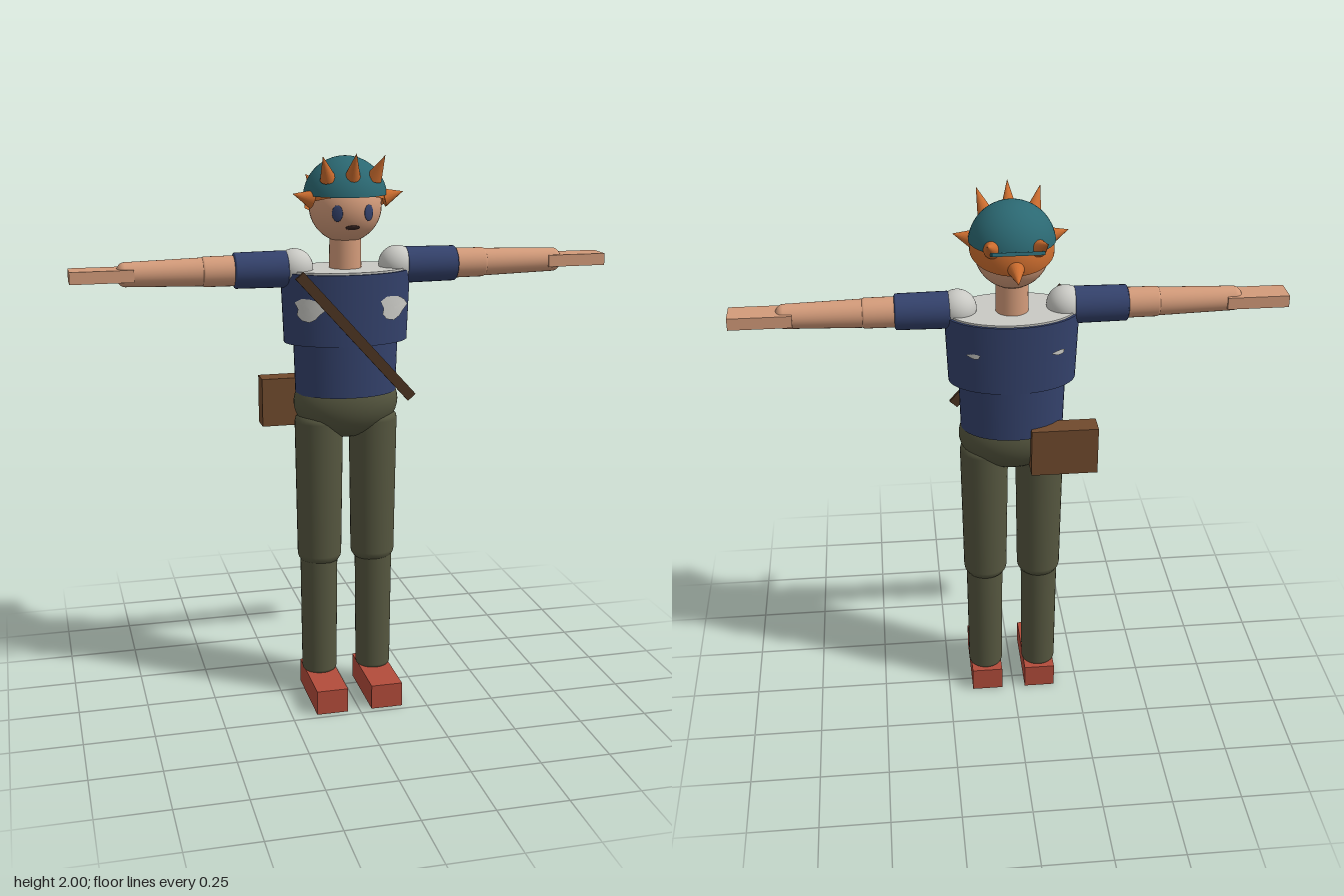
import * as THREE from 'three';

const mat = (name, color, side = THREE.FrontSide) => {
  const m = new THREE.MeshStandardMaterial({ color, side });
  m.name = name;
  return m;
};

export function createModel() {
  const skin = mat('skin', 0xd39b7a);
  const navy = mat('navy cloth', 0x34426c);
  const white = mat('pale undershirt', 0xc9c9c4, THREE.DoubleSide);
  const olive = mat('olive trousers', 0x55563f);
  const red = mat('red shoes', 0xb34c3b);
  const teal = mat('teal cap', 0x2b6872, THREE.DoubleSide);
  const orange = mat('orange hair', 0xcb6c2e, THREE.DoubleSide);
  const leather = mat('brown leather', 0x704a2d);
  const strapBrown = mat('dark strap', 0x4c3422);
  const dark = mat('dark mouth', 0x33221f);

  const model = new THREE.Group();
  const add = (name, geo, material, x = 0, y = 0, z = 0) => {
    const m = new THREE.Mesh(geo, material);
    m.name = name;
    m.position.set(x, y, z);
    model.add(m);
    return m;
  };
  // Elliptical tube, rx at top and bottom
  const oval = (top, bottom, h, depthRatio) =>
    new THREE.CylinderGeometry(top, bottom, h, 48).scale(1, 1, depthRatio);
  // Limb with domed ends, given by its radii, from y = 0 up to y = h
  const limb = (r0, r1, h, dome = 0.03) => {
    const pts = [];
    for (let i = 0; i <= 6; i++) {
      const a = (i / 6) * Math.PI / 2;
      pts.push(new THREE.Vector2(r0 * Math.sin(a), dome * (1 - Math.cos(a))));
    }
    for (let i = 6; i >= 0; i--) {
      const a = (i / 6) * Math.PI / 2;
      pts.push(new THREE.Vector2(r1 * Math.sin(a), h - dome * (1 - Math.cos(a))));
    }
    return new THREE.LatheGeometry(pts, 32);
  };

  // Torso
  add('shirtUpper', oval(0.232, 0.222, 0.25, 0.63), navy, 0, 1.465, 0.005);
  add('shirtLower', oval(0.188, 0.182, 0.2, 0.73), navy, 0, 1.255, 0.005);
  add('undershirtTop', oval(0.222, 0.222, 0.02, 0.62), white, 0, 1.587, 0.005);

  // Torn patches wrapped onto the shirt
  const patch = (name, cx, cy, w, h, dir) => {
    const geo = new THREE.RingGeometry(0.001, 1, 12, 4);
    const p = geo.attributes.position;
    for (let i = 0; i < p.count; i++) {
      const a = Math.atan2(p.getY(i), p.getX(i));
      const k = 0.88 + 0.13 * Math.sin(3 * a + 1) + 0.08 * Math.cos(5 * a);
      const x = cx + p.getX(i) * w * k;
      const z = 0.145 * Math.sqrt(Math.max(0, 1 - (x / 0.23) ** 2)) + 0.003;
      p.setXYZ(i, x, cy + p.getY(i) * h * k, 0.005 + dir * z);
    }
    geo.computeVertexNormals();
    add(name, geo, white);
  };
  patch('rightChestTear', -0.155, 1.47, 0.05, 0.046, 1);
  patch('leftChestTear', 0.145, 1.47, 0.06, 0.048, 1);
  patch('rightBackTear', -0.15, 1.48, 0.025, 0.01, -1);
  patch('leftBackTear', 0.14, 1.48, 0.025, 0.01, -1);

  // Hips
  add('hips', new THREE.SphereGeometry(1, 40, 24).scale(0.19, 0.135, 0.122), olive, 0, 1.12, 0.008);

  for (const s of [1, -1]) {
    const side = s > 0 ? 'left' : 'right';
    // Legs and shoes
    add(side + 'Thigh', limb(0.08, 0.087, 0.6, 0.05), olive, s * 0.1, 0.5, 0.01);
    add(side + 'Shin', limb(0.064, 0.068, 0.5, 0.03), olive, s * 0.103, 0.07, 0.013);
    add(side + 'Shoe', new THREE.BoxGeometry(0.115, 0.09, 0.292), red, s * 0.102, 0.045, 0.08);

    // Arms, held straight out
    const arm = (name, geo, material, x) => {
      add(side + name, geo, material, s * x, 1.6, 0.012).rotation.z = -s * Math.PI / 2;
    };
    add(side + 'Shoulder', new THREE.SphereGeometry(0.066, 32, 20), white, s * 0.185, 1.604, 0.012);
    arm('Sleeve', limb(0.064, 0.062, 0.2, 0.012), navy, 0.205);
    arm('UpperArm', limb(0.053, 0.052, 0.22, 0.02), skin, 0.3);
    arm('Forearm', limb(0.051, 0.042, 0.4, 0.03), skin, 0.4);
    add(side + 'Hand', new THREE.BoxGeometry(0.215, 0.042, 0.095), skin, s * 0.848, 1.6, 0.01);

    // Eye plates on the face
    const eye = add(side + 'Eye', new THREE.SphereGeometry(1, 20, 12).scale(0.019, 0.028, 0.0045),
      navy, s * 0.055, 1.797, 0.114);
    eye.rotation.y = s * 0.45;
  }

  // Neck, head and mouth
  add('neck', new THREE.CylinderGeometry(0.055, 0.057, 0.14, 32), skin, 0, 1.65, 0);
  add('head', new THREE.SphereGeometry(0.127, 40, 28), skin, 0, 1.812, 0);
  add('mouth', new THREE.SphereGeometry(1, 20, 10).scale(0.026, 0.009, 0.0045), dark, 0, 1.747, 0.109)
    .rotation.x = 0.53;

  // Hair shell sloping down at the back
  add('hair', new THREE.SphereGeometry(0.142, 40, 16, 0, Math.PI * 2, 0, Math.PI / 2), orange, 0, 1.815, 0)
    .rotation.x = -0.29;

  // Cap with its peak turned backwards
  add('cap', new THREE.SphereGeometry(0.147, 40, 20, 0, Math.PI * 2, 0, 1.46), teal, 0, 1.835, -0.002);
  add('capPeak', new THREE.BoxGeometry(0.17, 0.012, 0.13), teal, 0, 1.862, -0.16).rotation.x = 0.38;

  // Hair spikes, each from base to tip
  const spike = (bx, by, bz, tx, ty, tz, r) => {
    const base = new THREE.Vector3(bx, by, bz);
    const dir = new THREE.Vector3(tx, ty, tz).sub(base);
    const len = dir.length();
    const m = add('hairSpike', new THREE.ConeGeometry(r, len, 20).translate(0, len / 2, 0), orange, bx, by, bz);
    m.quaternion.setFromUnitVectors(new THREE.Vector3(0, 1, 0), dir.normalize());
  };
  spike(0, 1.915, 0.105, 0, 2.0, 0.162, 0.028);
  spike(0, 1.8, -0.125, 0, 1.78, -0.222, 0.032);
  for (const s of [1, -1]) {
    spike(s * 0.08, 1.91, 0.085, s * 0.108, 1.99, 0.128, 0.028);
    spike(s * 0.125, 1.84, 0.04, s * 0.195, 1.86, 0.045, 0.033);
    spike(s * 0.075, 1.86, -0.11, s * 0.098, 1.905, -0.197, 0.03);
  }

  // Shoulder strap and hip pouch
  add('strap', new THREE.BoxGeometry(0.036, 0.595, 0.014), strapBrown, 0, 1.377, 0.165)
    .rotation.z = 0.732;
  add('pouch', new THREE.BoxGeometry(0.235, 0.175, 0.078), leather, -0.173, 1.105, -0.104);

  return model;
}
